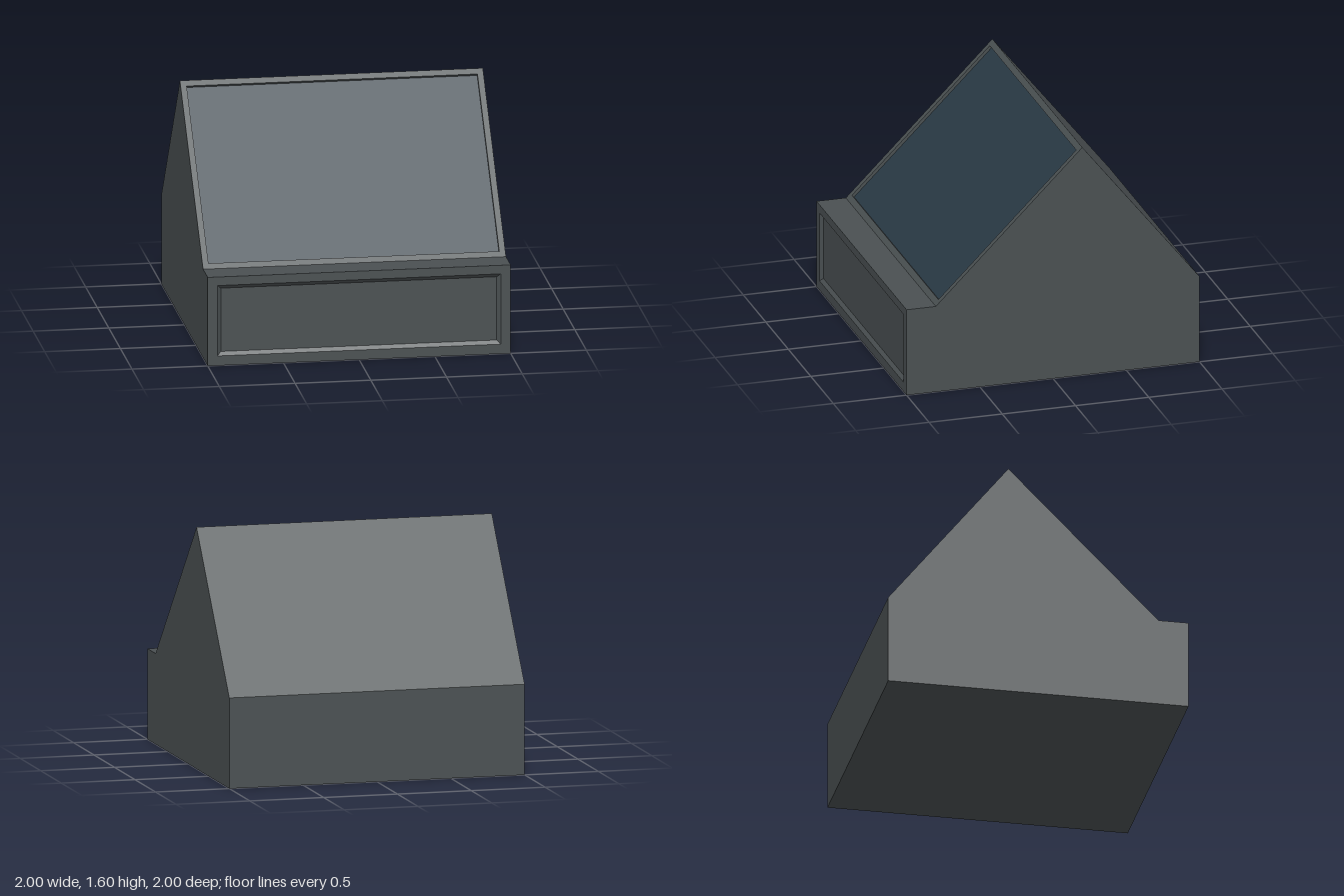
import * as THREE from 'three';
import { mergeGeometries } from 'three/addons/utils/BufferGeometryUtils.js';

const HALF = 1;

// Side outline as [z, y], running up the front and down the back
const PROFILE = [[1, 0], [1, 0.6], [0.8, 0.6], [-0.2, 1.6], [-1, 0.6], [-1, 0]];

// Recess openings, in the plane of their face (y runs up the face)
const SCREEN = { x: 0.96, y0: 0.042, y1: 1.372, inset: 0, depth: 0.02 };
const PANEL = { x: 0.935, y0: 0.065, y1: 0.542, inset: 0.024, depth: 0.02 };

const corners = (x, y0, y1) => [[-x, y0], [x, y0], [x, y1], [-x, y1]];
const shapeOf = (pts) => new THREE.Shape(pts.map((p) => new THREE.Vector2(...p)));

function plain(geometry) {
  const g = geometry.index ? geometry.toNonIndexed() : geometry;
  g.deleteAttribute('uv');
  return g;
}

// Flat face with an optional rectangular opening
function faceGeometry(length, recess) {
  const shape = shapeOf(corners(HALF, 0, length));
  if (recess) shape.holes.push(new THREE.Path(shapeOf(corners(recess.x, recess.y0, recess.y1)).getPoints().reverse()));
  return plain(new THREE.ShapeGeometry(shape));
}

// Four walls between the opening and the recessed floor
function wallGeometry({ x, y0, y1, inset, depth }) {
  const outer = corners(x, y0, y1).map((p) => [...p, 0]);
  const inner = corners(x - inset, y0 + inset, y1 - inset).map((p) => [...p, -depth]);
  const pos = [];
  for (let i = 0; i < 4; i++) {
    const j = (i + 1) % 4;
    pos.push(...outer[i], ...outer[j], ...inner[j], ...outer[i], ...inner[j], ...inner[i]);
  }
  const g = new THREE.BufferGeometry();
  g.setAttribute('position', new THREE.Float32BufferAttribute(pos, 3));
  g.computeVertexNormals();
  return g;
}

function floorGeometry({ x, y0, y1, inset, depth }) {
  return plain(new THREE.ShapeGeometry(shapeOf(corners(x - inset, y0 + inset, y1 - inset)))).translate(0, 0, -depth);
}

// Lay a face-plane geometry along profile edge i
function place(geometry, i) {
  const [z0, y0] = PROFILE[i];
  const [z1, y1] = PROFILE[(i + 1) % PROFILE.length];
  return geometry.rotateX(Math.atan2(z1 - z0, y1 - y0)).translate(0, y0, z0);
}

export function createModel() {
  const model = new THREE.Group();
  model.name = 'console';
  const bodyMaterial = new THREE.MeshStandardMaterial({ color: 0x4a5052 });
  const screenMaterial = new THREE.MeshStandardMaterial({ color: 0x2a3a45 });
  const add = (name, geometry, material) => {
    const mesh = new THREE.Mesh(geometry, material);
    mesh.name = name;
    model.add(mesh);
  };

  // Casing: one face per profile edge, plus the two sides
  const parts = PROFILE.map((p, i) => {
    const [z1, y1] = PROFILE[(i + 1) % PROFILE.length];
    const recess = { 0: PANEL, 2: SCREEN }[i];
    return place(faceGeometry(Math.hypot(z1 - p[0], y1 - p[1]), recess), i);
  });
  for (const side of [1, -1]) {
    const outline = shapeOf(PROFILE.map(([z, y]) => [-side * z, y]));
    parts.push(plain(new THREE.ShapeGeometry(outline)).rotateY((side * Math.PI) / 2).translate(side * HALF, 0, 0));
  }
  add('casing', mergeGeometries(parts), bodyMaterial);

  // Recessed front panel with bevelled edge
  add('frontPanelBevel', place(wallGeometry(PANEL), 0), bodyMaterial);
  add('frontPanel', place(floorGeometry(PANEL), 0), bodyMaterial);

  // Sunken sloping screen
  add('screenRim', place(wallGeometry(SCREEN), 2), bodyMaterial);
  add('screen', place(floorGeometry(SCREEN), 2), screenMaterial);

  return model;
}
